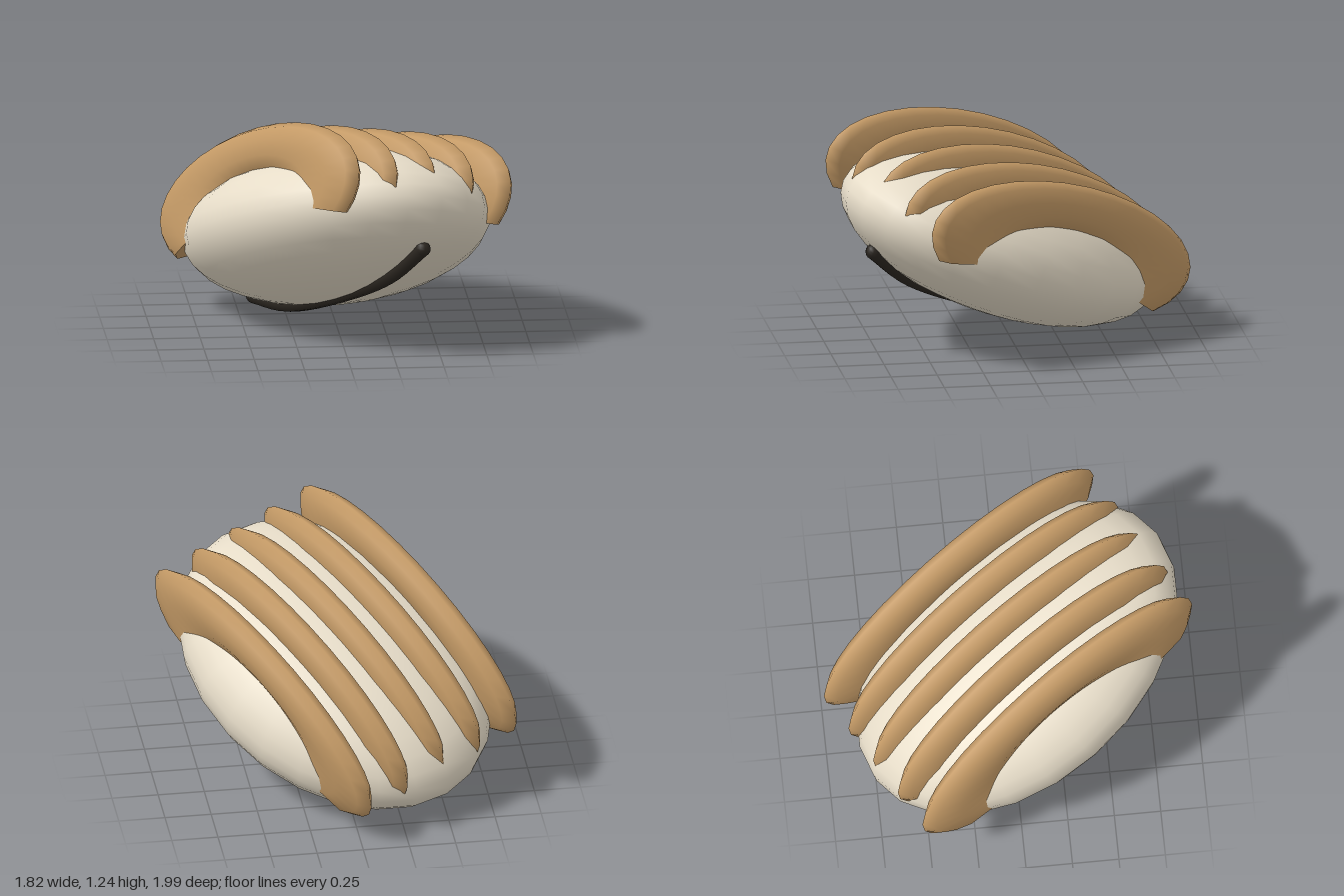
import * as THREE from 'three';
import { mergeGeometries } from 'three/addons/utils/BufferGeometryUtils.js';

const bodyMat = new THREE.MeshStandardMaterial({ color: 0xe6dcc8 });
const ridgeMat = new THREE.MeshStandardMaterial({ color: 0xc49a66, side: THREE.DoubleSide });
const slitMat = new THREE.MeshStandardMaterial({ color: 0x2b2620 });

// Flattened partial ring lying in the length/height plane, closed at both ends
function ridgeGeometry() {
  const R = 0.66, r = 0.34, overhang = 0.56;
  const arc = Math.PI + 2 * overhang;
  const parts = [new THREE.TorusGeometry(R, r, 10, 22, arc).rotateZ(-overhang)];
  for (const angle of [-overhang, Math.PI + overhang]) {
    parts.push(new THREE.CircleGeometry(r, 10).rotateX(Math.PI / 2).translate(R, 0, 0).rotateZ(angle));
  }
  const geo = mergeGeometries(parts);
  geo.rotateY(-Math.PI / 2);
  geo.scale(0.082 / r, 0.385, 0.95);
  return geo;
}

export function createModel() {
  const model = new THREE.Group();
  model.name = 'ridgedShell';

  // Tilted frame: x across the ridges, y out of the back, z along the length
  const shell = new THREE.Group();
  shell.name = 'shell';
  shell.position.set(0, 0.56, 0.05);
  shell.rotation.set(-0.41, 0.52, 0);
  model.add(shell);

  // Body
  const body = new THREE.Mesh(new THREE.SphereGeometry(1, 24, 18), bodyMat);
  body.name = 'body';
  body.scale.set(0.73, 0.4, 1.01);
  shell.add(body);

  // Five equal ridges across the back
  const ridgeGeo = ridgeGeometry();
  for (let i = -2; i <= 2; i++) {
    const ridge = new THREE.Mesh(ridgeGeo, ridgeMat);
    ridge.name = 'ridge' + (i + 3);
    ridge.position.set(i * 0.245, 0.12, 0);
    shell.add(ridge);
  }

  // Dark slit following the underside, with rounded ends
  const slit = new THREE.Group();
  slit.name = 'slit';
  const path = new THREE.CatmullRomCurve3(
    [[-0.81, -0.25], [-0.5, -0.345], [0, -0.375], [0.5, -0.345], [0.81, -0.25]]
      .map(([z, y]) => new THREE.Vector3(0, y, z)));
  const strip = new THREE.Mesh(new THREE.TubeGeometry(path, 24, 0.042, 10), slitMat);
  strip.name = 'slitStrip';
  slit.add(strip);
  for (const t of [0, 1]) {
    const end = new THREE.Mesh(new THREE.SphereGeometry(0.042, 10, 8), slitMat);
    end.name = 'slitEnd';
    end.position.copy(path.getPoint(t));
    slit.add(end);
  }
  shell.add(slit);

  return model;
}
